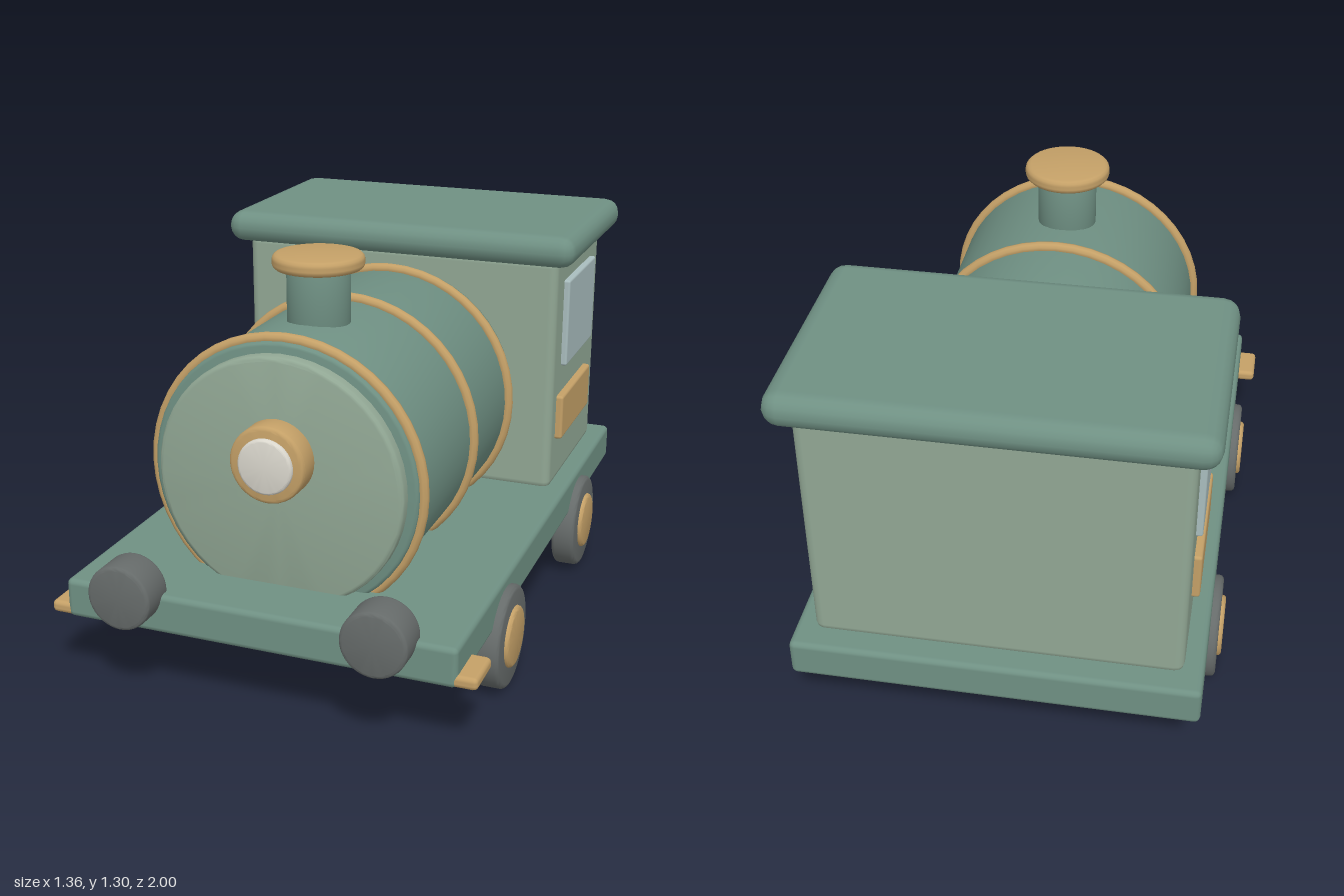
import * as THREE from 'three';
import { RoundedBoxGeometry } from 'three/addons/geometries/RoundedBoxGeometry.js';
import { toCreasedNormals } from 'three/addons/utils/BufferGeometryUtils.js';

const paint = (color) => new THREE.MeshStandardMaterial({ color });

export function createModel() {
  const model = new THREE.Group();
  const green = paint(0x6f9083);
  const sage = paint(0x91a794);
  const brass = paint(0xc4a067);
  const iron = paint(0x666b6a);
  const glass = paint(0xa9bdbe);
  const lens = paint(0xdad7cd);

  function add(name, geometry, material, x, y, z) {
    const mesh = new THREE.Mesh(geometry, material);
    mesh.name = name;
    mesh.position.set(x, y, z);
    model.add(mesh);
    return mesh;
  }

  // Rounded box given by its lower and upper corners
  function box(name, material, [x0, y0, z0], [x1, y1, z1], radius, segments = 2) {
    const geometry = new RoundedBoxGeometry(x1 - x0, y1 - y0, z1 - z0, segments, radius);
    return add(name, geometry, material, (x0 + x1) / 2, (y0 + y1) / 2, (z0 + z1) / 2);
  }

  // Solid disc with rounded rims, centred on the origin, along 'x', 'y' or 'z'
  function disc(radius, length, rim, axis = 'y', sides = 40) {
    const h = length / 2;
    const points = [new THREE.Vector2(0, -h)];
    for (const end of [-1, 1]) {
      for (let i = 0; i <= 3; i++) {
        const a = ((end < 0 ? i - 3 : i) / 3) * Math.PI / 2;
        points.push(new THREE.Vector2(
          radius - rim + rim * Math.cos(a), end * (h - rim) + rim * Math.sin(a)));
      }
    }
    points.push(new THREE.Vector2(0, h));
    const geometry = new THREE.LatheGeometry(points, sides);
    if (axis === 'x') geometry.rotateZ(-Math.PI / 2);
    if (axis === 'z') geometry.rotateX(Math.PI / 2);
    return toCreasedNormals(geometry, 0.7);
  }

  // Footplate
  box('footplate', green, [-0.62, 0.235, -1], [0.62, 0.36, 0.925], 0.018);

  // Boiler with its front door and brass bands
  const boilerY = 0.683;
  add('boiler', disc(0.422, 0.98, 0.012, 'z', 48), green, 0, boilerY, 0.2);
  add('boilerDoor', disc(0.39, 0.08, 0.015, 'z', 48), sage, 0, boilerY, 0.69);
  for (const z of [0.66, 0.18, -0.217]) {
    add('boilerBand', new THREE.TorusGeometry(0.427, 0.018, 10, 48), brass, 0, boilerY, z);
  }

  // Headlamp
  add('headlamp', disc(0.118, 0.09, 0.012, 'z'), brass, 0, 0.77, 0.762);
  add('headlampLens', disc(0.085, 0.04, 0.008, 'z'), lens, 0, 0.77, 0.802);

  // Chimney
  add('chimney', disc(0.097, 0.22, 0.005), green, 0, 1.16, 0.403);
  add('chimneyCap', disc(0.14, 0.046, 0.018), brass, 0, 1.281, 0.403);

  // Cab and roof
  box('cab', sage, [-0.56, 0.345, -0.92], [0.56, 1.165, -0.298], 0.03);
  box('roof', green, [-0.623, 1.146, -0.99], [0.623, 1.254, -0.238], 0.053);

  // Parts repeated on both sides
  for (const side of [-1, 1]) {
    const cabX = side * 0.56;
    box('cabWindow', glass, [cabX - 0.02, 0.773, -0.79], [cabX + 0.02, 1.075, -0.404], 0.008);
    box('cabPlate', brass, [cabX - 0.024, 0.518, -0.768], [cabX + 0.024, 0.675, -0.362], 0.01);

    const stepX = side * 0.62;
    box('step', brass, [stepX - 0.058, 0.238, 0.775], [stepX + 0.058, 0.277, 0.922], 0.015);

    add('buffer', disc(0.102, 0.12, 0.012, 'z'), iron, side * 0.398, 0.366, 0.94);

    for (const z of [0.44, -0.506]) {
      add('wheel', disc(0.162, 0.082, 0.015, 'x'), iron, side * 0.606, 0.164, z);
      add('wheelHub', disc(0.097, 0.06, 0.012, 'x'), brass, side * 0.63, 0.167, z);
    }
  }

  // Axle beams
  for (const z of [0.44, -0.506]) {
    box('axleBeam', iron, [-0.543, 0.105, z - 0.11], [0.543, 0.2, z + 0.11], 0.015);
  }

  return model;
}
